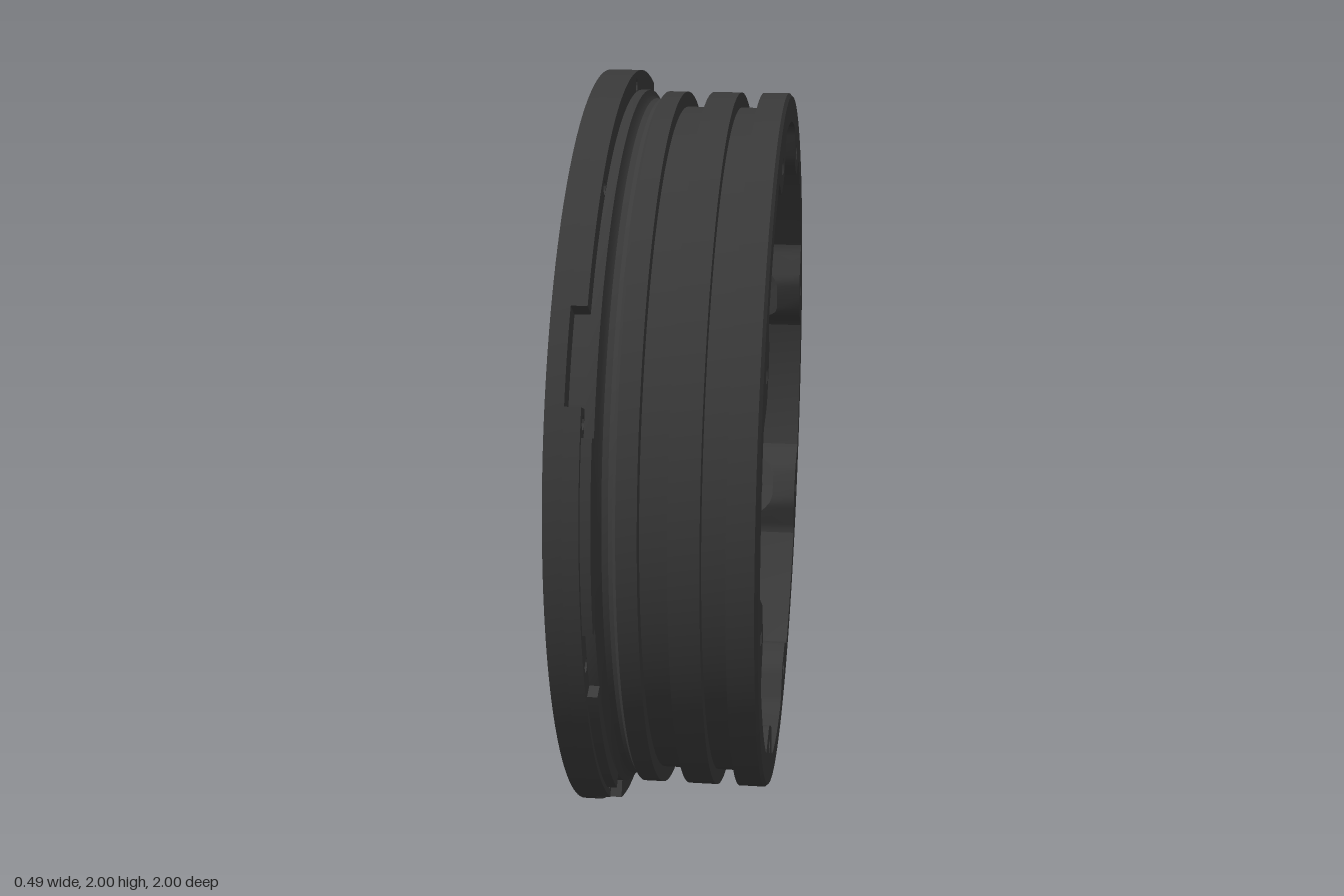
import * as THREE from 'three';
import { toCreasedNormals } from 'three/addons/utils/BufferGeometryUtils.js';

const RAD = Math.PI / 180;
const polar = (r, deg) => new THREE.Vector2(r * Math.cos(deg * RAD), r * Math.sin(deg * RAD));
const HOLE_ANGLES = Array.from({ length: 10 }, (_, i) => 15 + 36 * i);

// Circular hole centred at a polar position
function holeAt(r, deg, radius) {
  const c = polar(r, deg);
  return new THREE.Path().absarc(c.x, c.y, radius, 0, Math.PI * 2, true);
}

// Sector of a flat ring between two angles
function sector(r0, r1, a0, a1) {
  const s = new THREE.Shape();
  s.absarc(0, 0, r1, a0 * RAD, a1 * RAD, false);
  s.absarc(0, 0, r0, a1 * RAD, a0 * RAD, true);
  s.closePath();
  return s;
}

function extrude(shape, z0, z1, curveSegments) {
  const g = new THREE.ExtrudeGeometry(shape, { depth: z1 - z0, bevelEnabled: false, curveSegments });
  return g.translate(0, 0, z0);
}

export function createModel() {
  const root = new THREE.Group();
  root.name = 'wheelRing';
  // Parts are built around the z axis, then turned so the axis lies along x
  const ring = new THREE.Group();
  ring.name = 'ringAssembly';
  ring.rotation.y = Math.PI / 2;
  ring.position.y = 1;
  root.add(ring);

  const material = new THREE.MeshStandardMaterial({ color: 0x3a3a3a });
  const add = (geometry, name) => {
    const mesh = new THREE.Mesh(toCreasedNormals(geometry, 28 * RAD), material);
    mesh.name = name;
    ring.add(mesh);
  };

  // Grooved barrel: outside profile forwards, inside profile back
  const profile = [
    [0.935, -0.24], [0.948, -0.16], [0.948, -0.137], [0.934, -0.13], [0.926, -0.12],
    [0.925, -0.105], [0.93, -0.094], [0.945, -0.085],
    [0.945, -0.035], [0.905, -0.035], [0.905, 0.035], [0.945, 0.035],
    [0.945, 0.11], [0.905, 0.11], [0.905, 0.17], [0.945, 0.17],
    [0.945, 0.237], [0.937, 0.245], [0.87, 0.245],
    [0.87, -0.05], [0.866, -0.08], [0.853, -0.11], [0.833, -0.137], [0.808, -0.158], [0.782, -0.17],
    [0.782, -0.205], [0.798, -0.205], [0.798, -0.225], [0.82, -0.225], [0.82, -0.245], [0.935, -0.245], [0.935, -0.24],
  ].map(([r, z]) => new THREE.Vector2(r, z));
  add(new THREE.LatheGeometry(profile, 160).rotateX(Math.PI / 2), 'barrel');

  // Drilled flange plate
  const plate = new THREE.Shape().absarc(0, 0, 1, 0, Math.PI * 2, false);
  plate.holes.push(new THREE.Path().absarc(0, 0, 0.935, 0, Math.PI * 2, true));
  HOLE_ANGLES.forEach(a => plate.holes.push(holeAt(0.965, a, 0.017)));
  add(extrude(plate, -0.245, -0.2, 80), 'flangePlate');

  // Thicker flange layer, interrupted by four notches
  const notches = [[49, 66], [143.5, 157], [233, 246], [325, 337.5]];
  notches.forEach(([, start], i) => {
    const end = i < 3 ? notches[i + 1][0] : notches[0][0] + 360;
    const s = sector(0.935, 1, start, end);
    HOLE_ANGLES.flatMap(a => [a, a + 360])
      .filter(a => a > start + 1 && a < end - 1)
      .forEach(a => s.holes.push(holeAt(0.965, a, 0.017)));
    add(extrude(s, -0.2, -0.161, 40), 'flangeSegment');
  });

  // Low pads on the inner side of the flange
  [[161, 189], [200, 229]].forEach(([a0, a1]) =>
    add(extrude(sector(0.94, 0.985, a0, a1), -0.165, -0.136, 16), 'flangePad'));

  // Eight drilled bosses inside the rim, with sloping backs
  for (let i = 0; i < 8; i++) {
    const a = 15 + 45 * i;
    const half = [[0.872, 9.8], [0.862, 8.7], [0.85, 8], [0.802, 5.2], [0.79, 4.2], [0.784, 2.8]];
    const outline = [
      ...half.map(([r, d]) => polar(r, a - d)),
      polar(0.783, a),
      ...half.slice().reverse().map(([r, d]) => polar(r, a + d)),
      polar(0.876, a + 5), polar(0.876, a), polar(0.876, a - 5),
    ].reverse();
    const shape = new THREE.Shape(outline);
    shape.holes.push(holeAt(0.835, a, 0.021));
    const g = extrude(shape, 0, 0.245, 10);
    const p = g.attributes.position;
    for (let k = 0; k < p.count; k++) {
      if (p.getZ(k) > 0.1) continue;
      const t = (Math.hypot(p.getX(k), p.getY(k)) - 0.78) / 0.09;
      p.setZ(k, 0.18 - 0.1 * t);
    }
    g.computeVertexNormals();
    add(g, 'boss');
  }
  return root;
}
